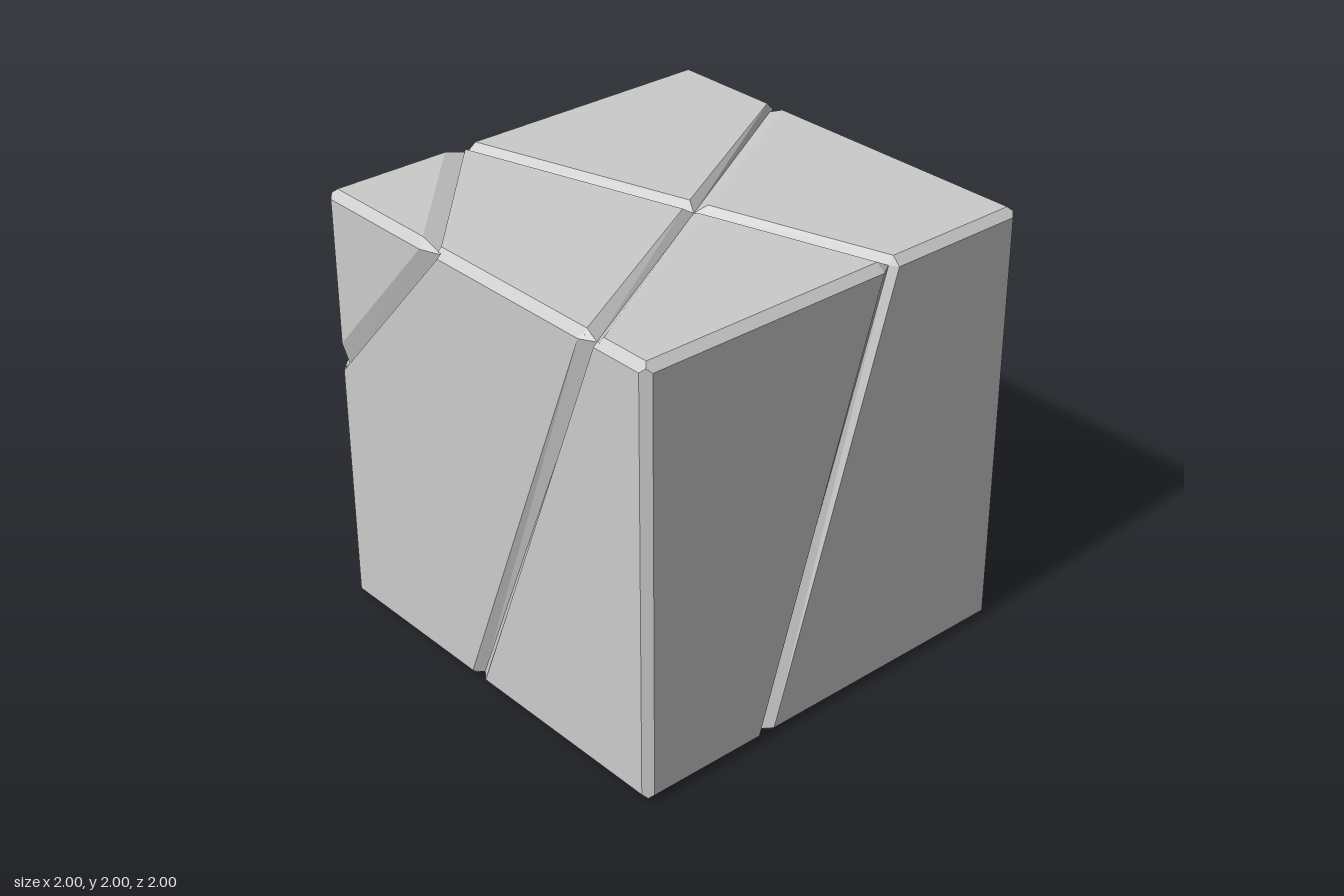
import * as THREE from 'three';

const BEVEL = 0.036;   // chamfer along the cube's own edges
const HALF = BEVEL / 2;
const DEPTH = 0.035;   // depth of the seams

// Each face: its axes u, v (u x v points outward) and its seams.
// A seam is [u1, v1, u2, v2, bevel width on its left, bevel width on its right].
const X = [1, 0, 0], Y = [0, 1, 0], Z = [0, 0, 1];
const neg = (a) => a.map((c) => -c);
const FACES = {
  front: { u: X, v: Y, seams: [[-0.355, -1, 0.28, 1, 0.045, 0.034]] },
  right: { u: neg(Z), v: Y, seams: [
    [-0.385, -1, 0.425, 1, 0.05, 0.033],
    [0.61, -1, 1, -0.6, 0.015, 0.055]] },
  back: { u: neg(X), v: Y, seams: [
    [-1, -0.6, 0.3, 1, 0.035, 0.048],
    [0.3, 1, 1, 0.17, 0.05, 0.03],
    [-1, -0.6, -0.38, -1, 0.03, 0.05]] },
  left: { u: Z, v: Y, seams: [
    [-0.1, -1, 0.69, 1, 0.05, 0.033],
    [-1, 0.17, -0.25, 1, 0.055, 0.033]] },
  top: { u: X, v: neg(Z), seams: [
    [-1, 0.25, -0.3, 1, 0.06, 0.022],
    [-1, -0.69, 1, 0.425, 0.032, 0.052],
    [0.28, -1, -0.3, 1, 0.05, 0.034]] },
  bottom: { u: X, v: Z, seams: [
    [0.38, -1, 1, -0.61, 0.03, 0.05],
    [1, -0.61, -1, -0.1, 0.04, 0.04],
    [0.38, -1, -0.355, 1, 0.04, 0.04]] },
};

// Part of a convex polygon on one side (s = 1 left, -1 right) of a seam.
// Each corner carries the bevel width w of the edge that starts there.
function clip(poly, seam, s) {
  const [x1, y1, x2, y2, wl, wr] = seam, e = 1e-5;
  const dist = (p) => s * ((x2 - x1) * (p.y - y1) - (y2 - y1) * (p.x - x1));
  const cut = { w: s > 0 ? wl : wr, seam: true };
  const out = [];
  poly.forEach((p, i) => {
    const q = poly[(i + 1) % poly.length], a = dist(p), b = dist(q);
    if (a >= -e) out.push(Math.abs(a) <= e && b < -e ? { ...p, ...cut } : p);
    if ((a > e && b < -e) || (a < -e && b > e)) {
      const t = a / (a - b);
      const m = { ...p, x: p.x + t * (q.x - p.x), y: p.y + t * (q.y - p.y) };
      out.push(a > 0 ? { ...m, ...cut } : m);
    }
  });
  const ds = out.map(dist);
  return out.length > 2 && Math.max(...ds) > 1e-4 ? out : null;
}

function splitFace(seams) {
  let polys = [[[-1, -1], [1, -1], [1, 1], [-1, 1]].map(([x, y]) => ({ x, y, w: BEVEL, seam: false }))];
  for (const seam of seams) {
    polys = polys.flatMap((p) => [clip(p, seam, 1), clip(p, seam, -1)].filter(Boolean));
  }
  return polys;
}

// Flat panel with a bevelled rim that drops into the seams and cube edges.
function panelGeometry(poly, u, v) {
  const U = new THREE.Vector3(...u), V = new THREE.Vector3(...v), N = U.clone().cross(V);
  const at = (x, y, d) => new THREE.Vector3(0, 1, 0).addScaledVector(U, x).addScaledVector(V, y).addScaledVector(N, 1 - d);
  const n = poly.length, pos = [];
  const tri = (...pts) => pts.forEach((p) => pos.push(p.x, p.y, p.z));

  // outward normal and inset line of every edge
  const edges = poly.map((p, i) => {
    const q = poly[(i + 1) % n], l = Math.hypot(q.x - p.x, q.y - p.y);
    const nx = (q.y - p.y) / l, ny = -(q.x - p.x) / l;
    return { nx, ny, c: nx * p.x + ny * p.y - p.w };
  });
  const inner = poly.map((p, i) => {
    const a = edges[(i + n - 1) % n], b = edges[i], det = a.nx * b.ny - a.ny * b.nx;
    return { x: (a.c * b.ny - b.c * a.ny) / det, y: (a.nx * b.c - b.nx * a.c) / det };
  });
  const outer = poly.map((p, i) => {
    const d = p.seam || poly[(i + n - 1) % n].seam ? DEPTH : HALF;
    const lim = (c) => THREE.MathUtils.clamp(c, d - 1, 1 - d);
    return at(lim(p.x), lim(p.y), d);
  });
  const flat = inner.map((p) => at(p.x, p.y, 0));

  for (let i = 1; i < n - 1; i++) tri(flat[0], flat[i], flat[i + 1]);
  for (let i = 0; i < n; i++) {
    const j = (i + 1) % n, e = edges[i];
    let a = outer[i], b = outer[j];
    if (!poly[i].seam) {
      // keep the cube-edge chamfer straight between its ends
      a = at(inner[i].x + e.nx * HALF, inner[i].y + e.ny * HALF, HALF);
      b = at(inner[j].x + e.nx * HALF, inner[j].y + e.ny * HALF, HALF);
      tri(outer[i], a, flat[i]);
      tri(b, outer[j], flat[j]);
    }
    tri(a, b, flat[j]);
    tri(a, flat[j], flat[i]);
  }
  const geo = new THREE.BufferGeometry();
  geo.setAttribute('position', new THREE.Float32BufferAttribute(pos, 3));
  geo.computeVertexNormals();
  return geo;
}

export function createModel() {
  const group = new THREE.Group();
  group.name = 'cutCube';
  const grey = new THREE.MeshStandardMaterial({ color: 0xcccccc, flatShading: true, side: THREE.DoubleSide });

  // solid core just below the seams
  const core = new THREE.Mesh(new THREE.BoxGeometry(1.924, 1.924, 1.924), grey);
  core.position.y = 1;
  core.name = 'core';
  group.add(core);

  // bevelled panels of all six faces
  for (const [name, { u, v, seams }] of Object.entries(FACES)) {
    const face = new THREE.Group();
    face.name = name + 'Face';
    splitFace(seams).forEach((poly, i) => {
      const panel = new THREE.Mesh(panelGeometry(poly, u, v), grey);
      panel.name = `${name}Panel${i + 1}`;
      face.add(panel);
    });
    group.add(face);
  }
  return group;
}
